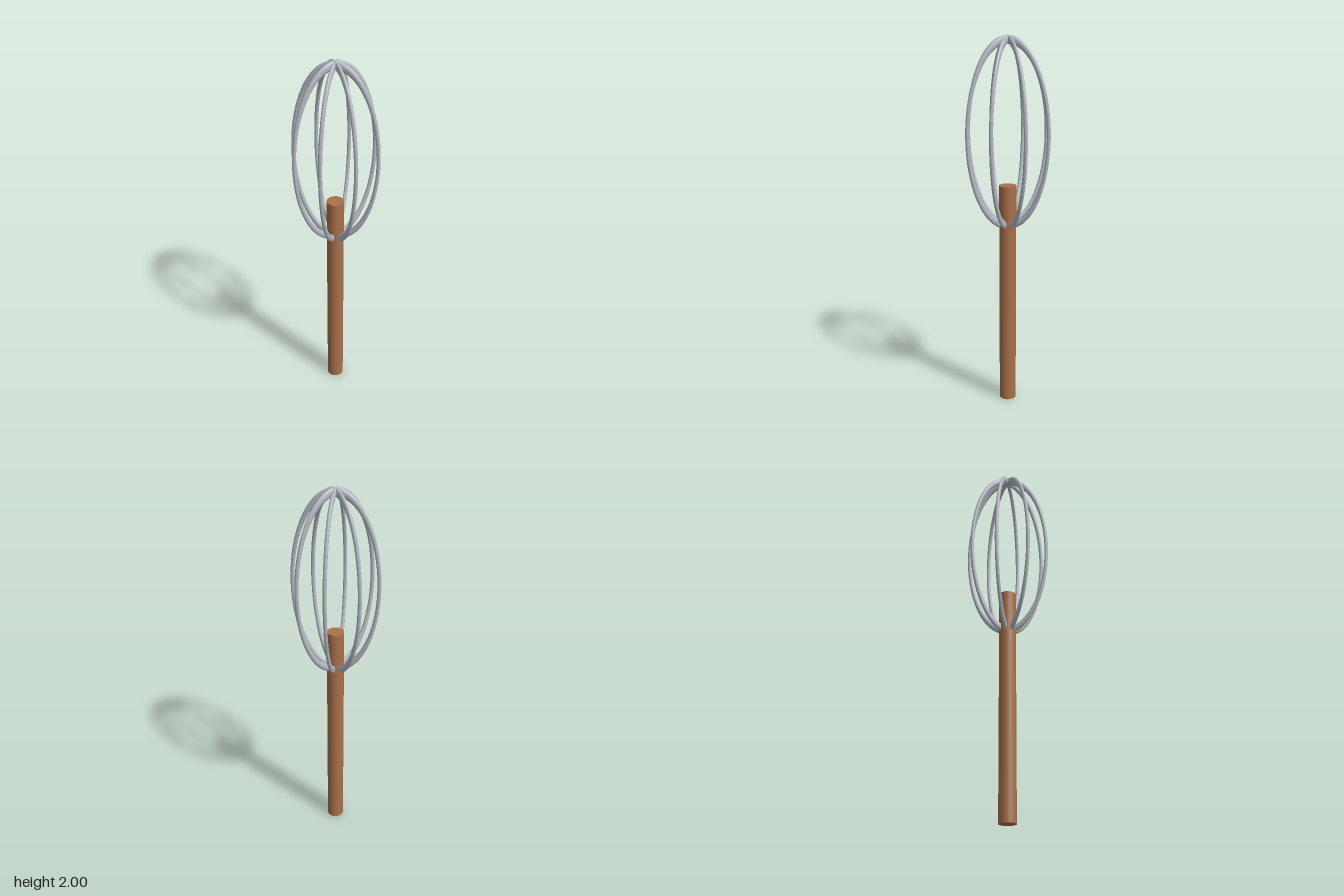
import * as THREE from 'three';

export function createModel() {
  const model = new THREE.Group();
  model.name = 'whisk';

  const wood = new THREE.MeshStandardMaterial({ color: 0xa9714b });
  wood.name = 'wood';
  const steel = new THREE.MeshStandardMaterial({ color: 0xb4bac2 });
  steel.name = 'steel';

  // Straight round handle, reaching up inside the wires
  const handleHeight = 1.235;
  const handle = new THREE.Mesh(
    new THREE.CylinderGeometry(0.045, 0.045, handleHeight, 32), wood);
  handle.name = 'handle';
  handle.position.y = handleHeight / 2;
  model.add(handle);

  // Four crossing oval wire loops: rings stretched upwards
  const wireRadius = 0.01;
  const halfWidth = 0.232;
  const halfHeight = 0.5;
  const loopGeometry = new THREE.TorusGeometry(halfWidth - wireRadius, wireRadius, 12, 96);
  loopGeometry.scale(1, halfHeight / halfWidth, 1);

  const wires = new THREE.Group();
  wires.name = 'wires';
  wires.position.y = 1.5;
  for (let i = 0; i < 4; i++) {
    const loop = new THREE.Mesh(loopGeometry, steel);
    loop.name = `wireLoop${i + 1}`;
    loop.rotation.y = (i * Math.PI) / 4;
    wires.add(loop);
  }
  model.add(wires);

  return model;
}
